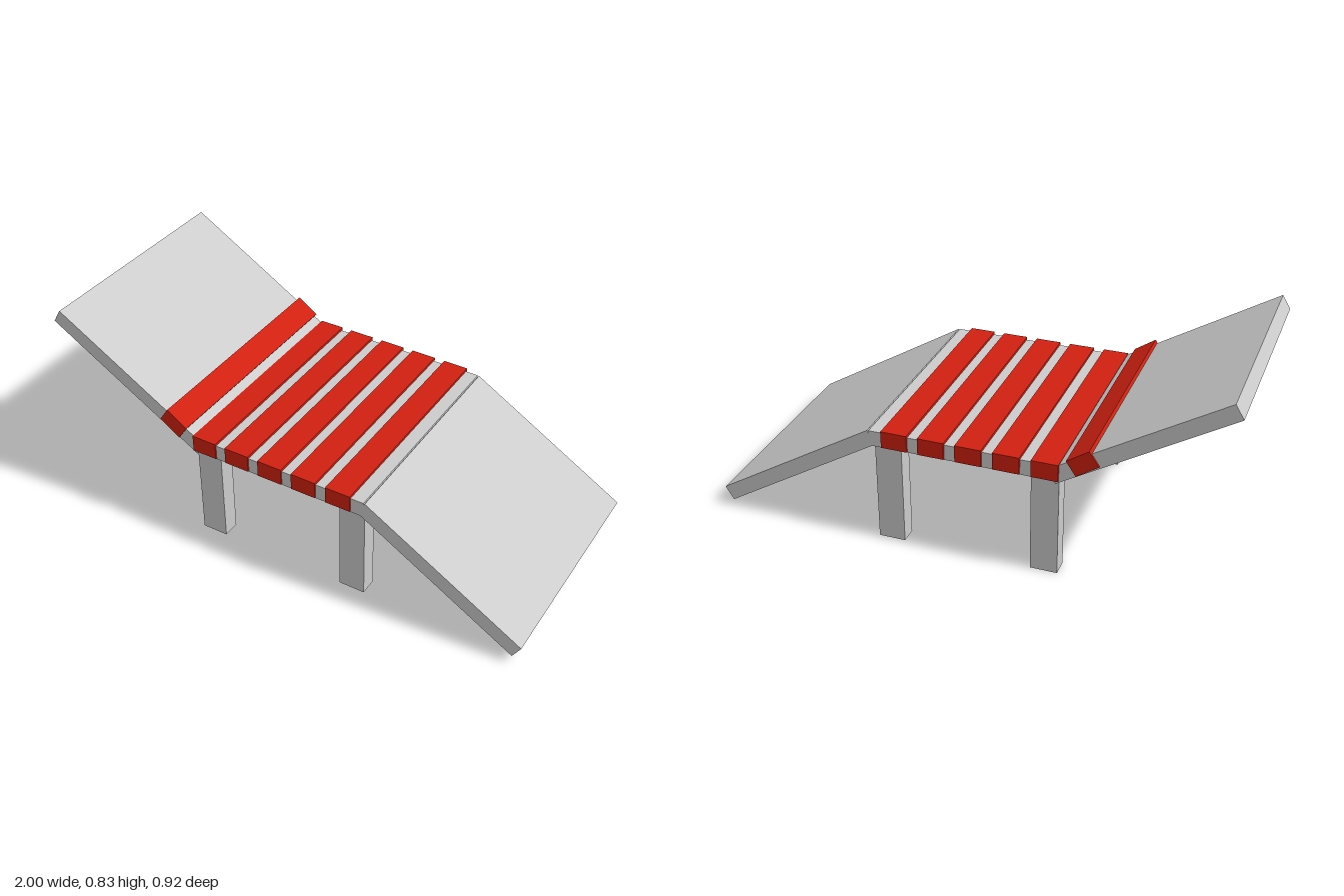
import * as THREE from 'three';

export function createModel() {
  const lounger = new THREE.Group();
  lounger.name = 'sunLounger';

  const grey = new THREE.MeshStandardMaterial({ color: 0xcccccc, flatShading: true });
  const red = new THREE.MeshStandardMaterial({ color: 0xd02010, flatShading: true });

  function addBox(name, material, size, position, tilt = 0) {
    const mesh = new THREE.Mesh(new THREE.BoxGeometry(...size), material);
    mesh.name = name;
    mesh.position.set(...position);
    mesh.rotation.z = tilt;
    lounger.add(mesh);
  }

  const width = 0.908;
  const thickness = 0.062;
  const slope = -THREE.MathUtils.degToRad(31.1);

  // Three panels: level seat, raised backrest and lowered foot rest
  addBox('seat', grey, [0.725, thickness, width], [-0.004, 0.432, 0.002]);
  addBox('backrest', grey, [0.743, thickness, width], [-0.666, 0.609, 0.002], slope);
  addBox('footRest', grey, [0.743, thickness, width], [0.666, 0.244, 0.002], slope);

  // Four legs, the two pairs standing very slightly out of line
  for (const [x, z] of [[-0.328, 0.395], [-0.323, -0.41], [0.297, 0.395], [0.285, -0.41]]) {
    addBox('leg', grey, [0.105, 0.402, 0.068], [x, 0.201, z]);
  }

  // Straps wrapped round the seat
  for (let i = 0; i < 5; i++) {
    addBox('seatStrap', red, [0.102, 0.068, 0.922], [-0.325 + i * 0.145, 0.439, 0.001]);
  }

  // Strap at the foot of the backrest
  addBox('backrestStrap', red, [0.1, 0.067, 0.922], [-0.463, 0.497, 0.001], -0.59);

  return lounger;
}
